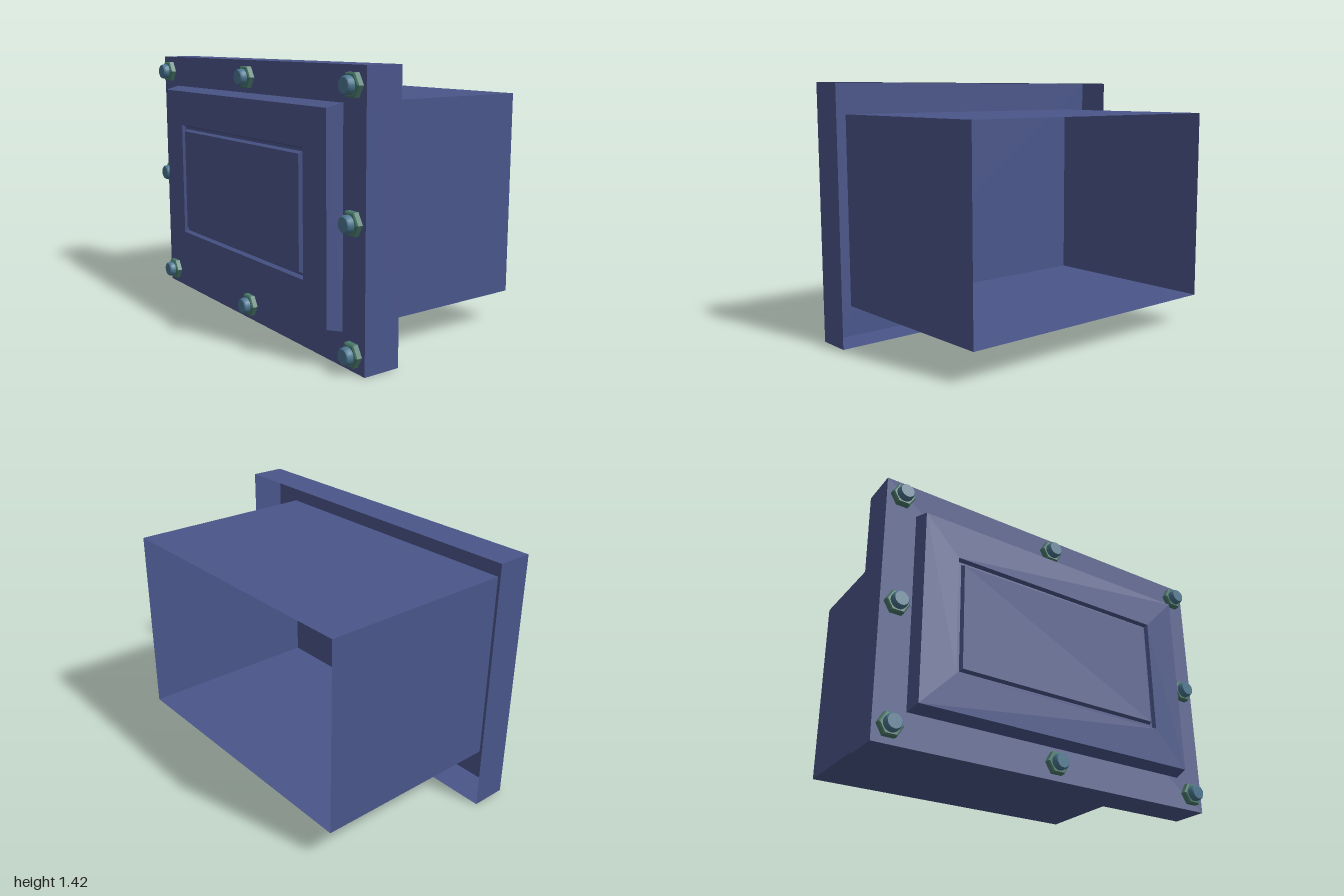
import * as THREE from 'three';

const MID_Y = 0.708;

// Flat-faced sheet through nested rectangles [halfWidth, halfHeight, z], ordered outside in
function rectShell(loops, capped) {
  const pos = [];
  const corners = ([w, h, z]) => [[w, -h, z], [w, h, z], [-w, h, z], [-w, -h, z]];
  const quad = (a, b, c, d) => pos.push(...a, ...b, ...c, ...a, ...c, ...d);
  for (let k = 0; k < loops.length - 1; k++) {
    const a = corners(loops[k]), b = corners(loops[k + 1]);
    for (let i = 0; i < 4; i++) {
      const j = (i + 1) % 4;
      quad(a[i], a[j], b[j], b[i]);
    }
  }
  if (capped) quad(...corners(loops[loops.length - 1]));
  const geo = new THREE.BufferGeometry();
  geo.setAttribute('position', new THREE.Float32BufferAttribute(pos, 3));
  geo.computeVertexNormals();
  return geo;
}

export function createModel() {
  const model = new THREE.Group();
  model.name = 'flangedHousing';

  const paint = new THREE.MeshStandardMaterial({ name: 'bluePaint', color: 0x4a568a, side: THREE.DoubleSide });
  const nutMetal = new THREE.MeshStandardMaterial({ name: 'greenNut', color: 0x4a7a6c, flatShading: true });
  const boltMetal = new THREE.MeshStandardMaterial({ name: 'blueBolt', color: 0x4a7690 });

  const addShell = (name, loops, capped) => {
    const mesh = new THREE.Mesh(rectShell(loops, capped), paint);
    mesh.name = name;
    mesh.position.y = MID_Y;
    model.add(mesh);
  };

  // Open-backed box, running forward to the flange face
  addShell('housingBox', [[0.832, 0.536, -0.597], [0.832, 0.536, 0.515]], false);

  // Flange: front sheet with a rim folded back
  addShell('flange', [[1, 0.708, 0.315], [1, 0.708, 0.515]], true);

  // Raised, tapered front panel with a rectangular groove
  addShell('raisedPanel', [
    [0.832, 0.536, 0.515],
    [0.815, 0.516, 0.597],
    [0.625, 0.32, 0.597],
    [0.615, 0.31, 0.577],
    [0.6, 0.296, 0.577],
    [0.59, 0.286, 0.597],
  ], true);

  // Chamfered hex nut and rounded bolt end, axis along z
  const nutGeo = new THREE.LatheGeometry([
    new THREE.Vector2(0.064, 0),
    new THREE.Vector2(0.064, 0.026),
    new THREE.Vector2(0.056, 0.032),
    new THREE.Vector2(0, 0.032),
  ], 6, Math.PI / 2).rotateX(Math.PI / 2);
  const boltGeo = new THREE.LatheGeometry([
    new THREE.Vector2(0.043, 0.03),
    new THREE.Vector2(0.043, 0.052),
    new THREE.Vector2(0.041, 0.06),
    new THREE.Vector2(0.036, 0.066),
    new THREE.Vector2(0.036, 0.066),
    new THREE.Vector2(0, 0.066),
  ], 20).rotateX(Math.PI / 2);

  // Eight fasteners around the flange
  for (const sx of [-1, 0, 1]) {
    for (const sy of [-1, 0, 1]) {
      if (sx === 0 && sy === 0) continue;
      const fastener = new THREE.Group();
      fastener.name = 'fastener';
      const nut = new THREE.Mesh(nutGeo, nutMetal);
      nut.name = 'nut';
      const bolt = new THREE.Mesh(boltGeo, boltMetal);
      bolt.name = 'boltEnd';
      fastener.add(nut, bolt);
      fastener.position.set(sx * 0.916, MID_Y + sy * 0.62, 0.515);
      model.add(fastener);
    }
  }

  return model;
}
